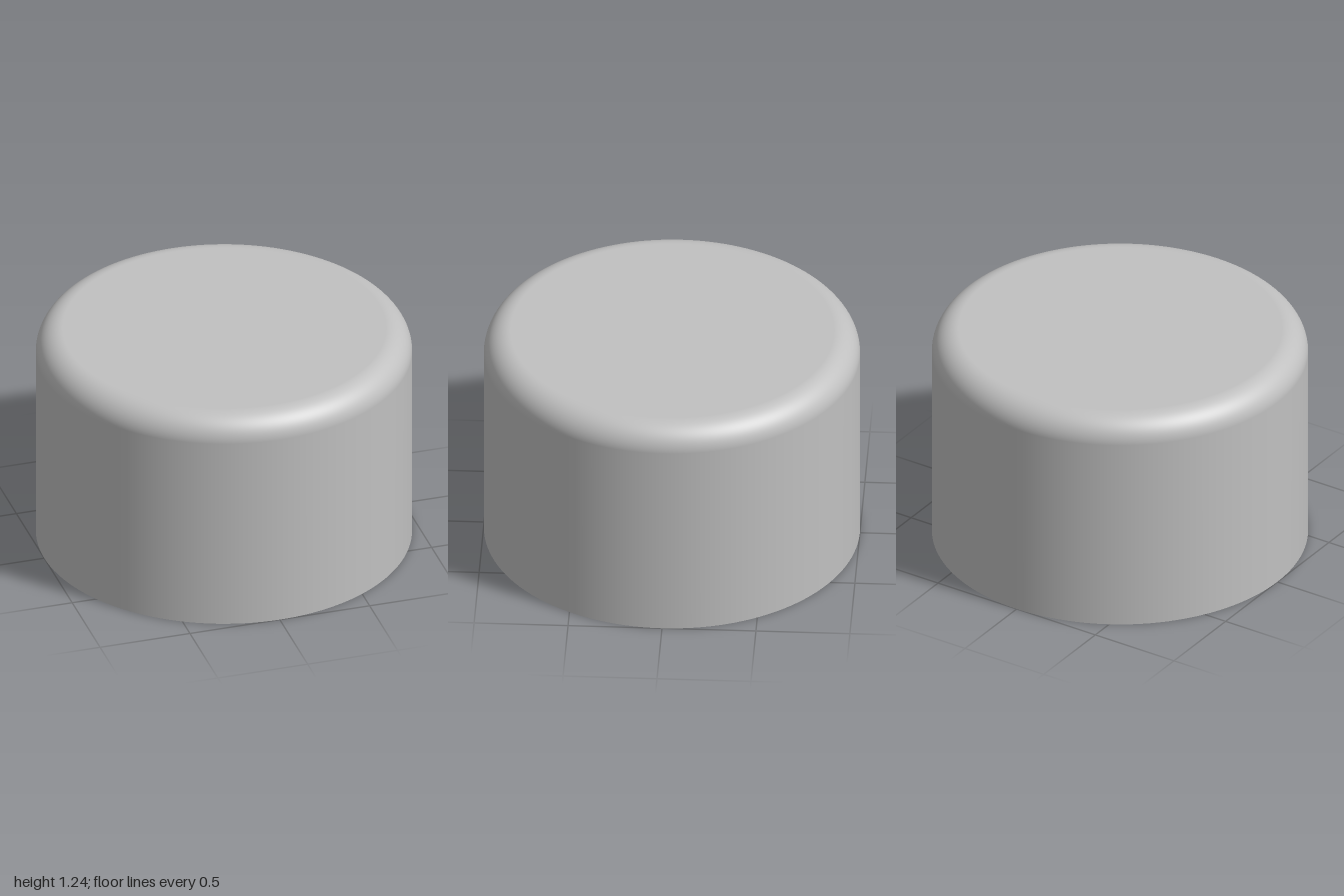
import * as THREE from 'three';

export function createModel() {
  const group = new THREE.Group();
  group.name = 'roundCap';
  const grey = new THREE.MeshStandardMaterial({ color: 0xc0c0c0 });
  grey.name = 'plain grey';

  const R = 1, H = 1.24, FILLET = 0.14;
  const RECESS_R = 0.67, RECESS_Y = 0.19;
  const BORE_R = 0.29, BORE_Y = 0.8;

  // Each smooth surface is its own lathe, so the edges between them stay sharp
  function turn(name, points) {
    const profile = points.map(([r, y]) => new THREE.Vector2(r, y));
    const mesh = new THREE.Mesh(new THREE.LatheGeometry(profile, 128), grey);
    mesh.name = name;
    group.add(mesh);
  }

  // Outer wall, rounded shoulder and flat top
  const shell = [[R, 0], [R, H - FILLET]];
  const steps = 24;
  for (let i = 1; i <= steps; i++) {
    const a = (i / steps) * Math.PI / 2;
    shell.push([R - FILLET + FILLET * Math.cos(a), H - FILLET + FILLET * Math.sin(a)]);
  }
  shell.push([0, H]);
  turn('outerShell', shell);

  // Underside: blind bore, stepped recess and bottom rim
  turn('boreEnd', [[0, BORE_Y], [BORE_R, BORE_Y]]);
  turn('boreWall', [[BORE_R, BORE_Y], [BORE_R, RECESS_Y]]);
  turn('recessFloor', [[BORE_R, RECESS_Y], [RECESS_R, RECESS_Y]]);
  turn('recessWall', [[RECESS_R, RECESS_Y], [RECESS_R, 0]]);
  turn('bottomRim', [[RECESS_R, 0], [R, 0]]);

  return group;
}
